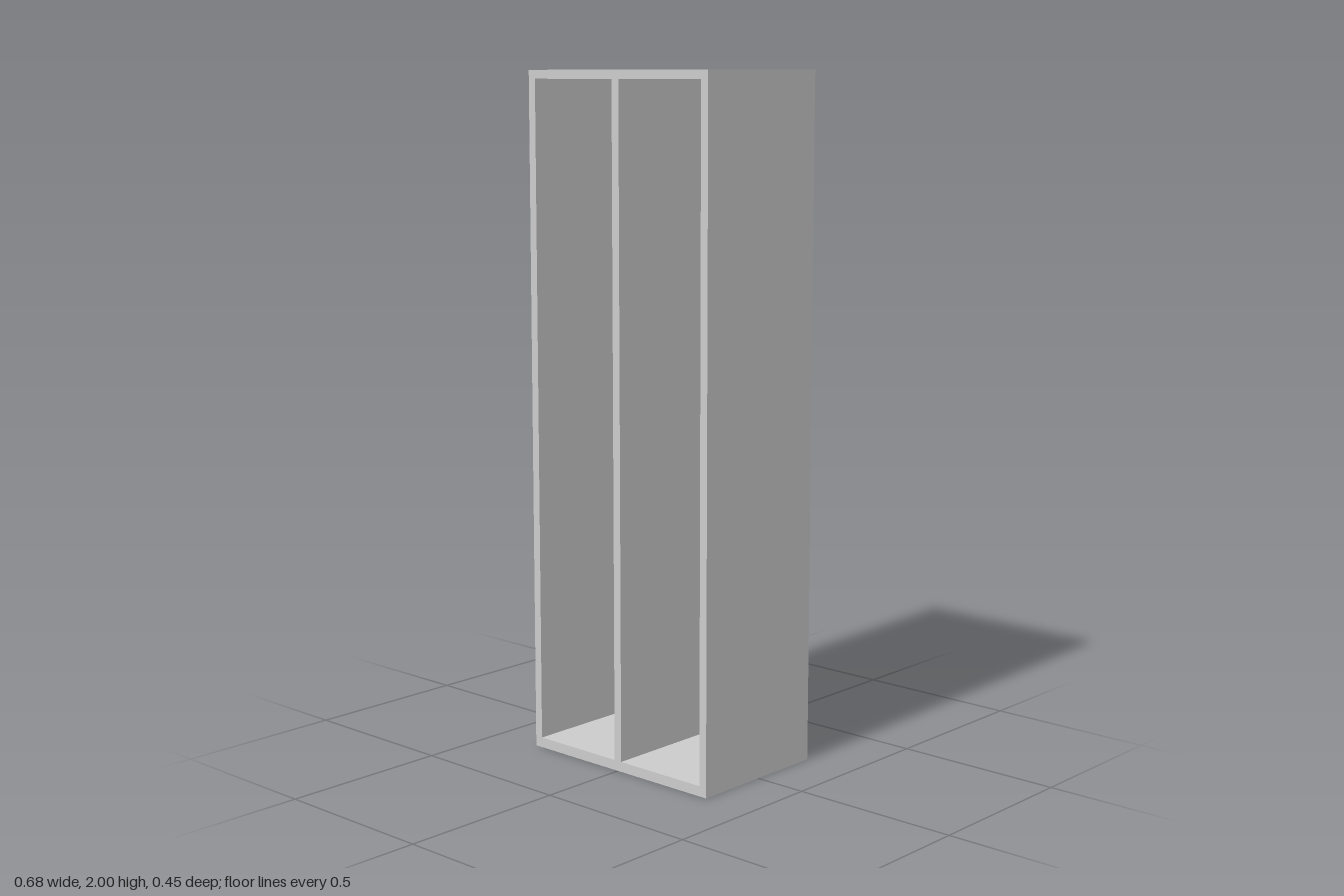
import * as THREE from 'three';

const W = 0.68, H = 2, D = 0.45; // overall size
const BACK = 0.08;               // back panel thickness

// Rectangle outline from two corners
function rect(path, x0, y0, x1, y1) {
  path.moveTo(x0, y0);
  path.lineTo(x1, y0);
  path.lineTo(x1, y1);
  path.lineTo(x0, y1);
  path.closePath();
  return path;
}

export function createModel() {
  const group = new THREE.Group();
  group.name = 'cabinet';
  const material = new THREE.MeshStandardMaterial({ color: 0xcccccc });

  // Side walls, top, bottom and centre divider around two tall bays
  const outline = rect(new THREE.Shape(), -W / 2, 0, W / 2, H);
  for (const side of [-1, 1]) {
    outline.holes.push(rect(new THREE.Path(), side * 0.013, 0.03, side * 0.315, 1.975));
  }
  const frame = new THREE.Mesh(
    new THREE.ExtrudeGeometry(outline, { depth: D - BACK, bevelEnabled: false }),
    material
  );
  frame.name = 'frame';
  frame.position.z = -D / 2 + BACK;
  group.add(frame);

  // Thick panel closing the back
  const back = new THREE.Mesh(new THREE.BoxGeometry(W, H, BACK), material);
  back.name = 'backPanel';
  back.position.set(0, H / 2, -D / 2 + BACK / 2);
  group.add(back);

  return group;
}
